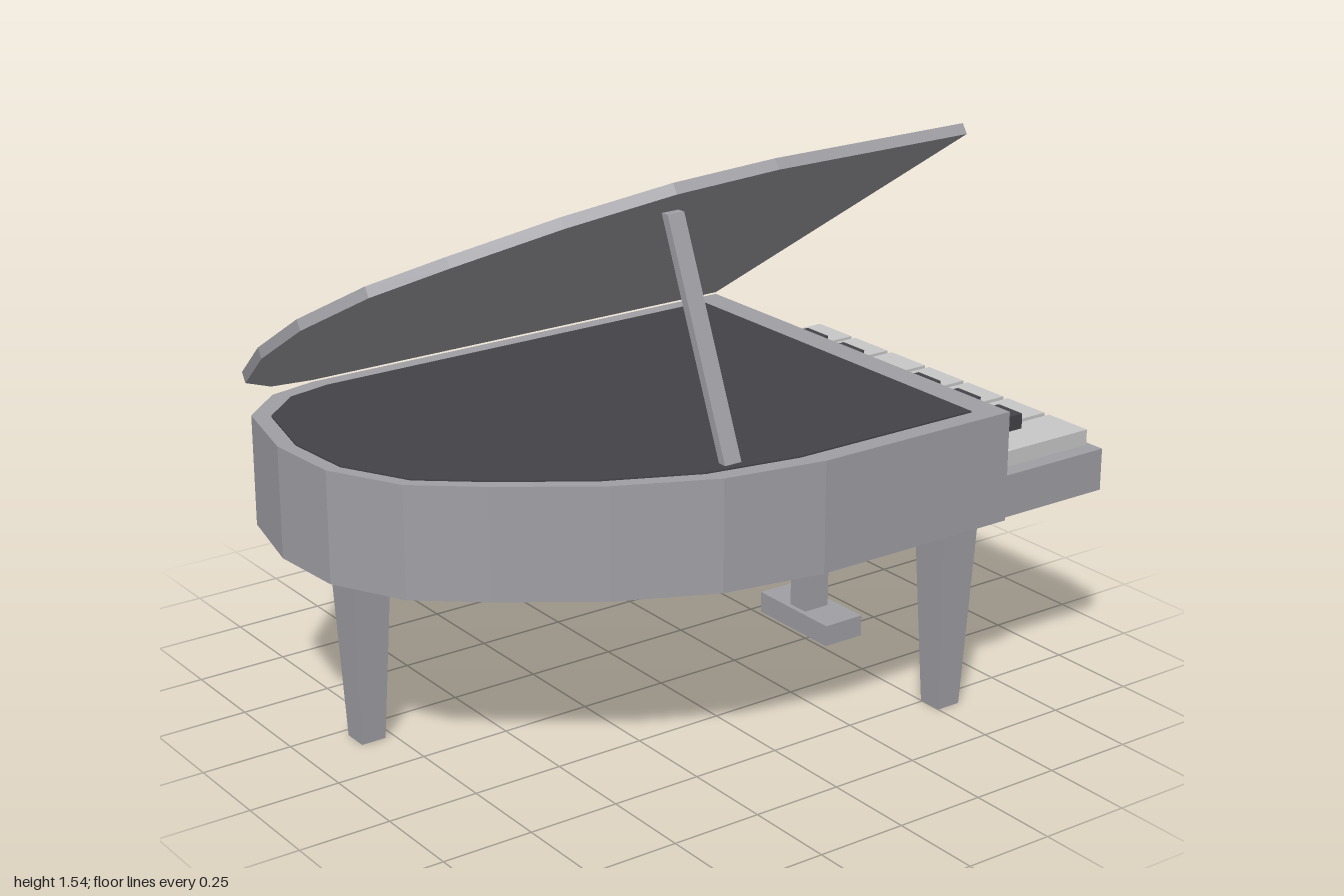
import * as THREE from 'three';

const material = (name, color) => {
  const m = new THREE.MeshStandardMaterial({ color });
  m.name = name;
  return m;
};

// Plan outline of the case, as x, z
const OUTLINE = [
  [-0.62, -0.645], [0.635, -0.645], [0.635, -0.04], [0.585, 0.235], [0.465, 0.49], [0.3, 0.725],
  [0.168, 0.885], [-0.025, 0.985], [-0.24, 1.0], [-0.48, 0.945], [-0.59, 0.825], [-0.62, 0.69],
];

// Horizontal slab with its underside at y = 0
function slab(points, thickness) {
  const shape = new THREE.Shape(points.map(([x, z]) => new THREE.Vector2(x, z)));
  const geometry = new THREE.ExtrudeGeometry(shape, { depth: thickness, bevelEnabled: false });
  return geometry.rotateX(Math.PI / 2).translate(0, thickness, 0);
}

export function createModel() {
  const model = new THREE.Group();
  model.name = 'grandPiano';
  const grey = material('caseGrey', 0xa09fa4);
  const dark = material('darkGrey', 0x444348);
  const ivory = material('keyWhite', 0xc8c8c8);

  const add = (name, geometry, mat, x = 0, y = 0, z = 0) => {
    const mesh = new THREE.Mesh(geometry, mat);
    mesh.name = name;
    mesh.position.set(x, y, z);
    model.add(mesh);
    return mesh;
  };
  // Box given by its extents on each axis
  const box = (name, mat, [x0, x1], [y0, y1], [z0, z1]) =>
    add(name, new THREE.BoxGeometry(x1 - x0, y1 - y0, z1 - z0), mat,
      (x0 + x1) / 2, (y0 + y1) / 2, (z0 + z1) / 2);

  // Case and the dark panel inside its rim
  add('case', slab(OUTLINE, 0.3), grey, 0, 0.53, 0);
  const inner = OUTLINE.map(([x, z]) => [x * 0.915, z * 0.925 + 0.035]);
  add('innerPanel', slab(inner, 0.004), dark, 0, 0.83, 0);

  // Open lid, hinged along the straight side
  const lid = add('lid', slab(OUTLINE.map(([x, z]) => [x + 0.62, z]), 0.03), grey, -0.62, 0.835, 0);
  lid.rotation.z = 0.577;

  // Lid prop
  const propShape = new THREE.Shape([[0.505, 0.83], [0.53, 0.83], [0.29, 1.412], [0.265, 1.412]]
    .map(([x, y]) => new THREE.Vector2(x, y)));
  add('lidProp', new THREE.ExtrudeGeometry(propShape, { depth: 0.05, bevelEnabled: false }), grey, 0, 0, 0.14);

  // Keyboard
  box('keyBed', grey, [-0.605, 0.62], [0.53, 0.647], [-1, -0.645]);
  for (let i = 0; i < 7; i++) {
    const x = 0.008 + (i - 3) * 0.164;
    box('whiteKey', ivory, [x - 0.073, x + 0.073], [0.647, 0.69], [-0.987, -0.645]);
  }
  for (const gap of [0, 1, 3, 4, 5]) {
    const x = 0.008 + (gap - 2.5) * 0.164;
    box('blackKey', dark, [x - 0.046, x + 0.046], [0.69, 0.732], [-0.852, -0.645]);
  }

  // Tapered square legs
  const leg = new THREE.CylinderGeometry(0.058 * Math.SQRT2, 0.035 * Math.SQRT2, 0.53, 4, 1)
    .rotateY(Math.PI / 4).toNonIndexed();
  leg.computeVertexNormals();
  for (const [x, z] of [[-0.515, -0.535], [0.53, -0.535], [-0.185, 0.81]]) add('leg', leg, grey, x, 0.265, z);

  // Pedal post and foot
  box('pedalPost', grey, [-0.025, 0.041], [0.105, 0.53], [-0.545, -0.465]);
  box('pedalFoot', grey, [-0.14, 0.152], [0.045, 0.105], [-0.575, -0.45]);

  return model;
}
